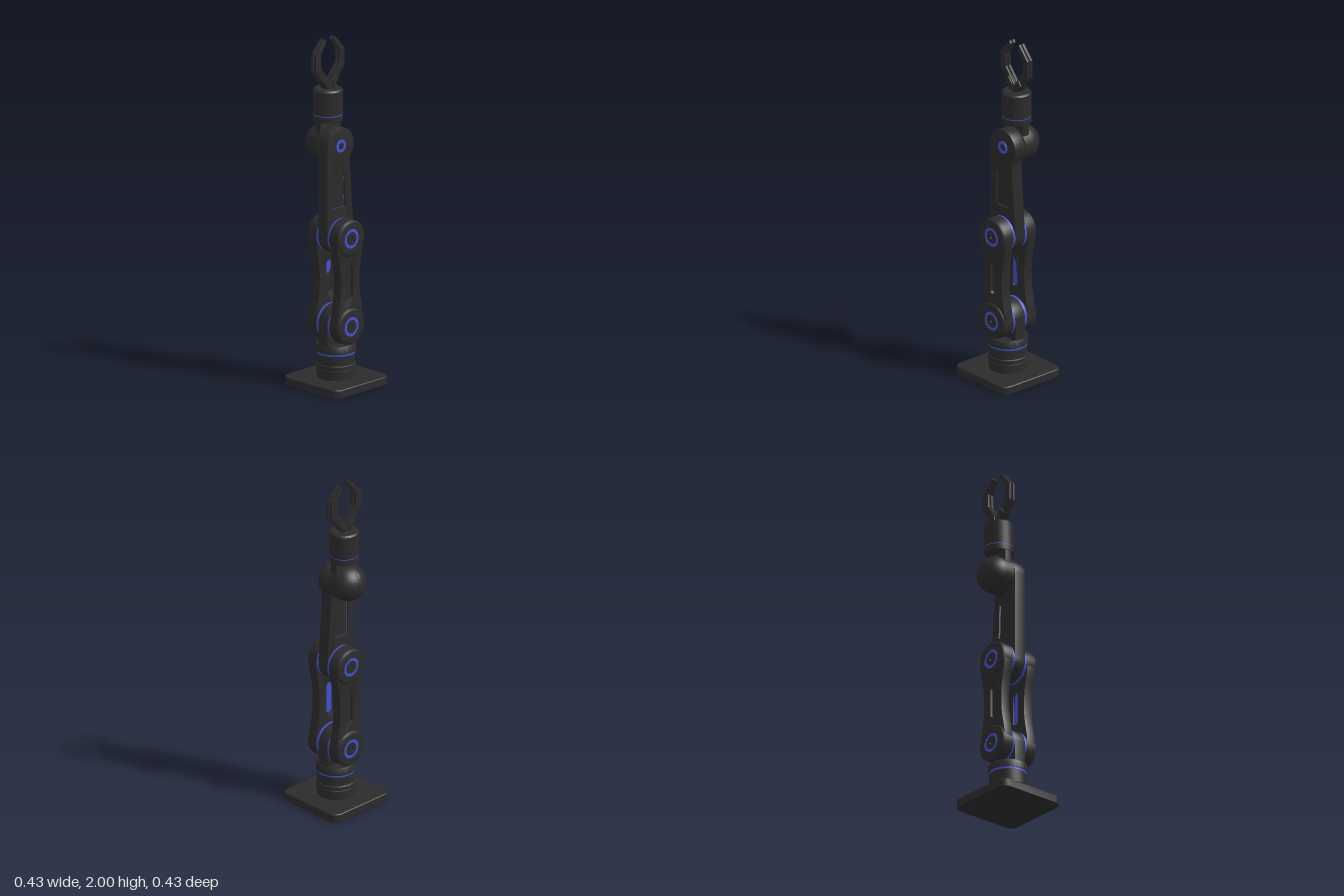
import * as THREE from 'three';
import { toCreasedNormals } from 'three/addons/utils/BufferGeometryUtils.js';

const dark = new THREE.MeshStandardMaterial({ color: 0x2b2b2b });
const blue = new THREE.MeshStandardMaterial({ color: 0x4350d0 });
const WRIST_Z = -0.064;

export function createModel() {
  const model = new THREE.Group();

  const add = (name, geometry, material = dark, parent = model) => {
    const mesh = new THREE.Mesh(geometry, material);
    mesh.name = name;
    parent.add(mesh);
    return mesh;
  };

  // Solid of revolution about y from [radius, height] pairs, listed bottom to top
  const turned = (pairs, segments = 48) =>
    toCreasedNormals(new THREE.LatheGeometry(pairs.map(([r, y]) => new THREE.Vector2(r, y)), segments), 0.6);
  const alongZ = (geometry) => geometry.rotateX(Math.PI / 2);

  // Flat part of a given outline between two z planes, with a small bevel
  const plate = (shape, z0, z1, bevel = 0.004) => {
    const g = new THREE.ExtrudeGeometry(shape, {
      depth: z1 - z0 - 2 * bevel, bevelEnabled: bevel > 0, bevelSize: bevel, bevelOffset: -bevel,
      bevelThickness: bevel, bevelSegments: 2, curveSegments: 20,
    });
    return toCreasedNormals(g.translate(0, 0, z0 + bevel), 0.6);
  };

  const polygon = (pairs) => new THREE.Shape(pairs.map(([x, y]) => new THREE.Vector2(x, y)));

  const slot = (r, y0, y1) => {
    const s = new THREE.Shape();
    s.absarc(0, y0 + r, r, Math.PI, 2 * Math.PI);
    s.absarc(0, y1 - r, r, 0, Math.PI);
    s.closePath();
    return s;
  };

  // Base plate with rounded corners
  const b = 0.215, c = 0.05;
  const foot = new THREE.Shape();
  [[1, 1, 0], [-1, 1, 1], [-1, -1, 2], [1, -1, 3]].forEach(([sx, sy, q]) =>
    foot.absarc(sx * (b - c), sy * (b - c), c, q * Math.PI / 2, (q + 1) * Math.PI / 2));
  foot.closePath();
  const footGeometry = new THREE.ExtrudeGeometry(foot, {
    depth: 0.042, bevelSize: 0.004, bevelOffset: -0.004, bevelThickness: 0.004, bevelSegments: 1, curveSegments: 3,
  });
  add('basePlate', toCreasedNormals(footGeometry.rotateX(-Math.PI / 2).translate(0, 0.004, 0), 0.6));

  // Turntable
  add('basePedestal', turned([
    [0, 0.04], [0.106, 0.04], [0.106, 0.085], [0.112, 0.088], [0.112, 0.104], [0.108, 0.106], [0.108, 0.112],
    [0.112, 0.114], [0.112, 0.13], [0.106, 0.134], [0.106, 0.192], [0, 0.192],
  ]));
  add('baseAccentRing', turned([[0, 0.19], [0.108, 0.19], [0.108, 0.203], [0, 0.203]]), blue);
  add('baseCollar', turned([[0, 0.202], [0.112, 0.202], [0.112, 0.241], [0.108, 0.247], [0, 0.247]]));

  // Shoulder bracket rising from the turntable
  const bracket = new THREE.Shape();
  bracket.moveTo(-0.103, 0.24);
  bracket.lineTo(0.103, 0.24);
  bracket.absarc(0, 0.36, 0.103, 0, Math.PI);
  bracket.closePath();
  add('shoulderBracket', plate(bracket, -0.037, 0.037));

  // Shoulder and elbow joints: one hub on each face
  const ring = (r0, r1, z0, z1) => alongZ(turned([[r0, z0], [r1, z0], [r1, z1], [r0, z1], [r0, z0]]));
  const addHub = (name, y, side) => {
    const hub = new THREE.Group();
    hub.name = name;
    hub.position.y = y;
    if (side < 0) hub.rotation.y = Math.PI;
    add('hubBody', alongZ(turned([
      [0, 0.05], [0.105, 0.05], [0.105, 0.108], [0.103, 0.116], [0.098, 0.121], [0.09, 0.123],
      [0.056, 0.123], [0.056, 0.114], [0, 0.114],
    ])), dark, hub);
    add('hubAccentBand', alongZ(turned([[0, 0.036], [0.103, 0.036], [0.103, 0.051], [0, 0.051]])), blue, hub);
    add('hubAccentRing', ring(0.038, 0.056, 0.113, 0.121), blue, hub);
    add('hubCap', ring(0.012, 0.038, 0.113, 0.123), dark, hub);
    model.add(hub);
  };
  for (const side of [1, -1]) {
    addHub('shoulderHub', 0.36, side);
    addHub('elbowHub', 0.87, side);
  }

  // Lower arm: a pair of waisted plates, each with a recessed slot
  const lower = new THREE.Shape();
  lower.absarc(0, 0.36, 0.103, Math.PI, 2 * Math.PI);
  lower.bezierCurveTo(0.103, 0.46, 0.074, 0.48, 0.074, 0.615);
  lower.bezierCurveTo(0.074, 0.75, 0.103, 0.77, 0.103, 0.87);
  lower.absarc(0, 0.87, 0.103, 0, Math.PI);
  lower.bezierCurveTo(-0.103, 0.77, -0.074, 0.75, -0.074, 0.615);
  lower.bezierCurveTo(-0.074, 0.48, -0.103, 0.46, -0.103, 0.36);
  lower.holes.push(slot(0.02, 0.52, 0.71));
  for (const side of [1, -1]) {
    const arm = new THREE.Group();
    arm.name = 'lowerArm';
    if (side < 0) arm.rotation.y = Math.PI;
    add('lowerArmPlate', plate(lower, 0.053, 0.112), dark, arm);
    add('slotAccent', plate(slot(0.024, 0.516, 0.714), 0.058, 0.094, 0), blue, arm);
    add('slotFloor', plate(slot(0.019, 0.521, 0.709), 0.058, 0.096, 0), dark, arm);
    model.add(arm);
  }

  // Upper arm: tapered plate with a recessed panel on both faces
  const upper = new THREE.Shape();
  upper.absarc(0, 0.87, 0.103, Math.PI, 2 * Math.PI);
  upper.lineTo(0.073, 1.28);
  upper.quadraticCurveTo(0.07, 1.315, 0.09, 1.337);
  upper.absarc(0, 1.39, 0.104, -0.53, Math.PI);
  upper.closePath();
  const panel = (d) => polygon([[-0.058 - d, 1.032 - d], [0.037 + d, 1.032 - d], [0.03 + d, 1.232 + d], [-0.058 - d, 1.232 + d]]);
  upper.holes.push(panel(0));
  add('upperArm', plate(upper, -0.037, 0.037));
  add('panelAccent', plate(panel(0.005), -0.026, 0.026, 0), blue);
  add('panelFloor', plate(panel(-0.003), -0.028, 0.028, 0));

  // Wrist joint: front ring and rear dome
  add('wristAccentRing', ring(0.02, 0.037, 0.03, 0.042), blue).position.y = 1.39;
  add('wristCap', alongZ(turned([[0, 0.03], [0.02, 0.03], [0.02, 0.04], [0, 0.04]]))).position.y = 1.39;
  const dome = [[0, 0.04], [0.105, 0.04]];
  for (let i = 0; i <= 16; i++) {
    const a = (i / 16) * Math.PI / 2;
    dome.push([0.105 * Math.cos(a), 0.092 + 0.105 * Math.sin(a)]);
  }
  add('wristDome', turned(dome).rotateX(-Math.PI / 2)).position.y = 1.39;

  // Neck and wrist barrel
  add('wristNeck', plate(polygon([[-0.08, 1.4], [0.08, 1.4], [0.08, 1.53], [-0.08, 1.53]]), -0.086, -0.041));
  const barrel = new THREE.Group();
  barrel.name = 'wrist';
  barrel.position.z = WRIST_Z;
  add('wristBase', turned([[0, 1.522], [0.08, 1.522], [0.083, 1.525], [0.083, 1.556], [0, 1.556]]), dark, barrel);
  add('wristAccentBand', turned([[0, 1.555], [0.082, 1.555], [0.082, 1.563], [0, 1.563]]), blue, barrel);
  add('wristBarrel', turned([[0, 1.562], [0.083, 1.562], [0.083, 1.697], [0.075, 1.706], [0, 1.706]]), dark, barrel);
  model.add(barrel);

  // Gripper: two mirrored fingers, each of twin plates joined by a knuckle
  const gripper = new THREE.Group();
  gripper.name = 'gripper';
  gripper.position.z = WRIST_Z;
  add('gripperMount', new THREE.BoxGeometry(0.05, 0.05, 0.04).translate(0, 1.722, 0), dark, gripper);
  for (const s of [1, -1]) {
    const mirrored = (pairs) => polygon(pairs.map(([x, y]) => [s * x, y]));
    const finger = mirrored([
      [0.0, 1.715], [0.03, 1.712], [0.112, 1.82], [0.112, 1.92], [0.04, 2.0],
      [0.028, 1.985], [0.074, 1.912], [0.07, 1.835], [-0.005, 1.74],
    ]);
    const knuckle = mirrored([[0.012, 1.71], [0.03, 1.71], [0.062, 1.757], [0.042, 1.787], [0.012, 1.753]]);
    for (const z of [-0.012, 0.012]) add('fingerPlate', plate(finger, z - 0.008, z + 0.008, 0.001), dark, gripper);
    add('fingerKnuckle', plate(knuckle, -0.027, 0.027, 0.002), dark, gripper);
  }
  model.add(gripper);

  return model;
}
